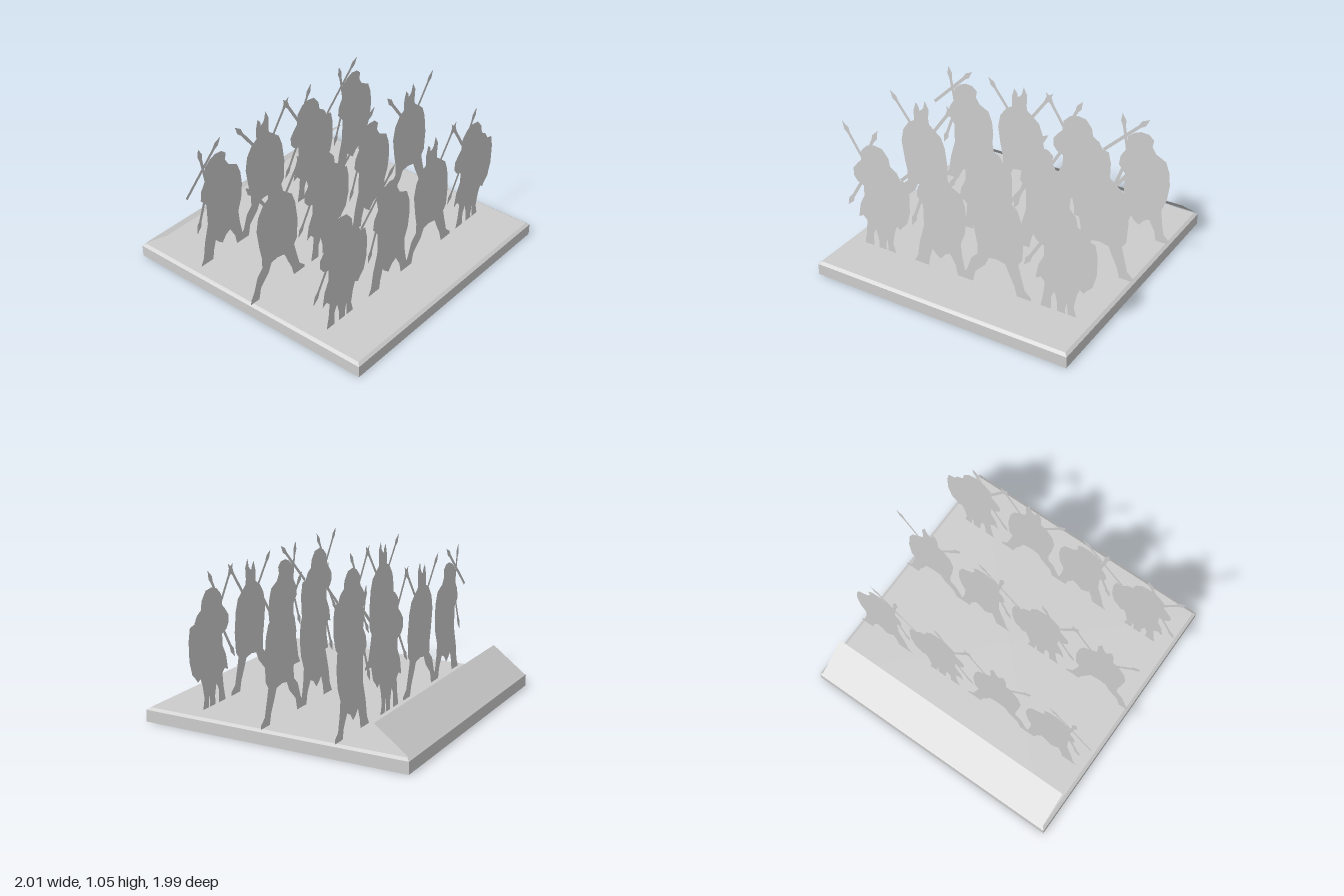
import * as THREE from 'three';

const BASE_TOP = 0.102, FEET = 0.103;
const COLUMNS = [-0.725, -0.242, 0.242, 0.725];

// Flat outline from a list of [x, y] points
function outline(points) {
  return new THREE.Shape(points.map(([x, y]) => new THREE.Vector2(x, y)));
}

// Thin spear from butt to tip, with a leaf-shaped head
function spear(x0, y0, x1, y1) {
  const len = Math.hypot(x1 - x0, y1 - y0);
  const dx = (x1 - x0) / len, dy = (y1 - y0) / len, w = 0.012;
  const at = (d, s) => [x0 + dx * d - dy * s, y0 + dy * d + dx * s];
  return outline([
    at(0, -w), at(len - 0.1, -w), at(len - 0.06, -w * 1.8), at(len, 0),
    at(len - 0.06, w * 1.8), at(len - 0.1, w), at(0, w),
  ]);
}

// Three warrior silhouettes
const FIGURES = {
  furCloakWarrior: [
    outline([
      [-0.01, 0.93], [0.06, 0.92], [0.11, 0.86], [0.12, 0.80], [0.17, 0.77], [0.20, 0.72], [0.25, 0.71],
      [0.27, 0.62], [0.268, 0.48], [0.24, 0.38], [0.20, 0.34], [0.18, 0.31], [0.15, 0.33], [0.13, 0.28],
      [0.11, 0.18], [0.13, FEET], [0.065, FEET], [0.06, 0.20], [0.045, 0.14], [0.05, FEET], [-0.015, FEET],
      [-0.015, 0.17], [-0.035, 0.25], [-0.06, 0.2], [-0.06, FEET], [-0.14, FEET], [-0.12, 0.20],
      [-0.11, 0.30], [-0.14, 0.33], [-0.18, 0.31], [-0.16, 0.42], [-0.12, 0.50], [-0.12, 0.58],
      [-0.17, 0.60], [-0.20, 0.64], [-0.20, 0.70], [-0.16, 0.75], [-0.13, 0.78], [-0.12, 0.86], [-0.07, 0.91],
    ]),
    spear(-0.08, 0.75, -0.27, 1.05),
    spear(-0.12, 0.76, 0.03, 1.05),
    spear(-0.09, 0.68, -0.27, 0.38),
  ],
  shieldWarrior: [
    outline([
      [0.01, 0.94], [0.07, 0.935], [0.11, 0.90], [0.10, 0.85], [0.13, 0.80], [0.21, 0.76], [0.24, 0.68],
      [0.25, 0.58], [0.235, 0.46], [0.20, 0.37], [0.21, 0.27], [0.23, 0.17], [0.272, 0.13], [0.27, FEET],
      [0.17, FEET], [0.155, 0.18], [0.11, 0.26], [0.07, 0.24], [0.03, 0.19], [-0.01, 0.22], [-0.035, 0.25],
      [-0.06, 0.17], [-0.07, FEET], [-0.19, FEET], [-0.16, 0.16], [-0.14, 0.28], [-0.10, 0.42], [-0.10, 0.58],
      [-0.15, 0.64], [-0.14, 0.71], [-0.09, 0.79], [-0.09, 0.88], [-0.04, 0.92],
    ]),
    spear(-0.275, 0.72, 0.07, 1.05),
    spear(-0.08, 0.72, -0.14, 1.05),
    spear(-0.08, 0.72, -0.20, 0.39),
  ],
  hornedWarrior: [
    outline([
      [-0.05, 1.01], [-0.025, 0.98], [-0.02, 0.95], [0.0, 0.96], [0.015, 0.98], [0.03, 1.04], [0.06, 0.98],
      [0.055, 0.90], [0.06, 0.86], [0.11, 0.82], [0.16, 0.78], [0.19, 0.70], [0.21, 0.55], [0.20, 0.40],
      [0.17, 0.36], [0.19, 0.28], [0.22, 0.17], [0.27, 0.125], [0.27, FEET], [0.16, FEET], [0.14, 0.18],
      [0.10, 0.26], [0.07, 0.33], [0.0, 0.345], [-0.06, 0.335], [-0.09, 0.27], [-0.17, 0.19], [-0.19, FEET],
      [-0.275, FEET], [-0.265, 0.14], [-0.235, 0.19], [-0.20, 0.29], [-0.15, 0.34], [-0.15, 0.42],
      [-0.17, 0.52], [-0.19, 0.66], [-0.17, 0.76], [-0.12, 0.83], [-0.07, 0.86], [-0.07, 0.94],
    ]),
    spear(-0.05, 0.76, -0.272, 1.05),
    spear(0.09, 0.80, 0.272, 1.05),
  ],
};

// Rows from front to back, each listed from the model's right to its left
const ROWS = [
  { z: 0.62, types: ['furCloakWarrior', 'shieldWarrior', 'hornedWarrior', 'furCloakWarrior'] },
  { z: 0.07, types: ['hornedWarrior', 'furCloakWarrior', 'shieldWarrior', 'hornedWarrior'] },
  { z: -0.48, types: ['shieldWarrior', 'hornedWarrior', 'furCloakWarrior', 'shieldWarrior'] },
];

export function createModel() {
  const model = new THREE.Group();
  const grey = new THREE.MeshStandardMaterial({ color: 0xcccccc, side: THREE.DoubleSide });
  grey.name = 'plain grey';

  const add = (parent, name, geometry, x = 0, y = 0, z = 0) => {
    const mesh = new THREE.Mesh(geometry, grey);
    mesh.name = name;
    mesh.position.set(x, y, z);
    parent.add(mesh);
  };

  // Square tray with a bevelled top edge
  const base = new THREE.Group();
  base.name = 'base';
  model.add(base);
  add(base, 'baseSlab', new THREE.BoxGeometry(1.99, 0.086, 1.99), 0, 0.043, 0);
  const bevelHeight = BASE_TOP - 0.086;
  let bevel = new THREE.CylinderGeometry(0.973 * Math.SQRT2, 0.995 * Math.SQRT2, bevelHeight, 4, 1);
  bevel.rotateY(Math.PI / 4);
  bevel = bevel.toNonIndexed();
  bevel.computeVertexNormals();
  add(base, 'baseBevel', bevel, 0, 0.086 + bevelHeight / 2, 0);

  // Sloping panel along the back edge
  const depth = 0.243, rise = 0.183;
  const panel = new THREE.PlaneGeometry(1.945, Math.hypot(depth, rise));
  panel.rotateY(Math.PI);
  panel.rotateX(Math.atan2(depth, rise));
  add(model, 'backPanel', panel, 0, BASE_TOP + rise / 2, -0.985 + depth / 2);

  // Ranks of flat warriors
  const geometries = {};
  for (const type in FIGURES) geometries[type] = new THREE.ShapeGeometry(FIGURES[type]);
  const warriors = new THREE.Group();
  warriors.name = 'warriors';
  model.add(warriors);
  for (const { z, types } of ROWS) {
    types.forEach((type, i) => add(warriors, type, geometries[type], COLUMNS[i], 0, z));
  }
  return model;
}
